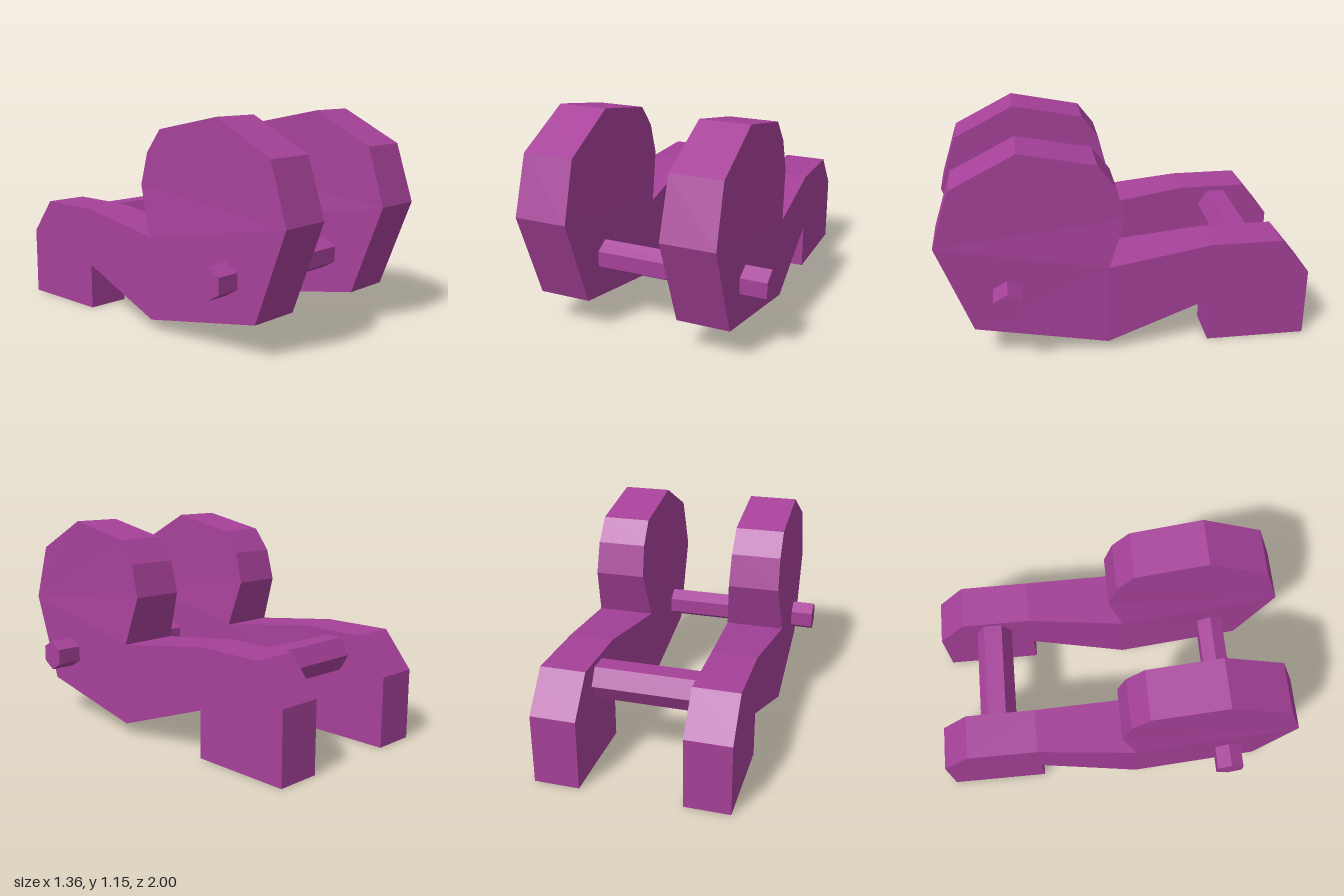
import * as THREE from 'three';

// Side outline of one arm: [z, y, half width in x]
const OUTLINE = [
  [1, 0.67, 0.143], [0.9, 0.98, 0.138], [0.56, 1.155, 0.135], [0.16, 1.075, 0.135],
  [0.065, 0.95, 0.137], [0.02, 0.775, 0.141], [0.105, 0.51, 0.161],
  [-0.45, 0.585, 0.122], [-0.84, 0.585, 0.122], [-1, 0.385, 0.122], [-1, 0, 0.122],
  [-0.45, 0, 0.122], [-0.45, 0.255, 0.122], [0.11, 0.06, 0.161], [0.82, 0.185, 0.143],
];

// Side panels, each filled as a fan from its first corner
const PANELS = [
  [0, 1, 2, 3, 4, 5],      // upper head
  [6, 13, 14, 0, 5],       // lower head
  [6, 7, 12, 13],          // neck
  [8, 9, 10, 11, 12, 7],   // foot
];

function armGeometry() {
  const positions = [];
  const corner = (i, side) => [side * OUTLINE[i][2], OUTLINE[i][1], OUTLINE[i][0]];
  const tri = (a, b, c) => positions.push(...a, ...b, ...c);

  // Both side faces
  for (const p of PANELS) {
    for (let k = 1; k < p.length - 1; k++) {
      tri(corner(p[0], -1), corner(p[k], -1), corner(p[k + 1], -1));
      tri(corner(p[0], 1), corner(p[k + 1], 1), corner(p[k], 1));
    }
  }
  // Rim between the sides
  for (let i = 0; i < OUTLINE.length; i++) {
    const j = (i + 1) % OUTLINE.length;
    tri(corner(j, -1), corner(i, -1), corner(i, 1));
    tri(corner(j, -1), corner(i, 1), corner(j, 1));
  }
  const geometry = new THREE.BufferGeometry();
  geometry.setAttribute('position', new THREE.Float32BufferAttribute(positions, 3));
  geometry.computeVertexNormals();
  return geometry;
}

// Six-sided rod lying along x
function rodGeometry(radius, length, turn) {
  return new THREE.CylinderGeometry(radius, radius, length, 6, 1, false, turn)
    .toNonIndexed()
    .rotateZ(Math.PI / 2);
}

export function createModel() {
  const model = new THREE.Group();
  const purple = new THREE.MeshStandardMaterial({ color: 0xa64199 });
  purple.name = 'purple';
  purple.flatShading = true;

  const add = (name, geometry, x, y, z) => {
    const mesh = new THREE.Mesh(geometry, purple);
    mesh.name = name;
    mesh.position.set(x, y, z);
    model.add(mesh);
  };

  const arm = armGeometry();
  add('leftArm', arm, 0.39, 0, 0);
  add('rightArm', arm, -0.403, 0, 0);
  add('frontAxle', rodGeometry(0.085, 1.36, Math.PI / 6), 0, 0.38, 0.637);
  add('rearCrossbar', rodGeometry(0.103, 0.7, 0), 0, 0.466, -0.667);
  return model;
}
